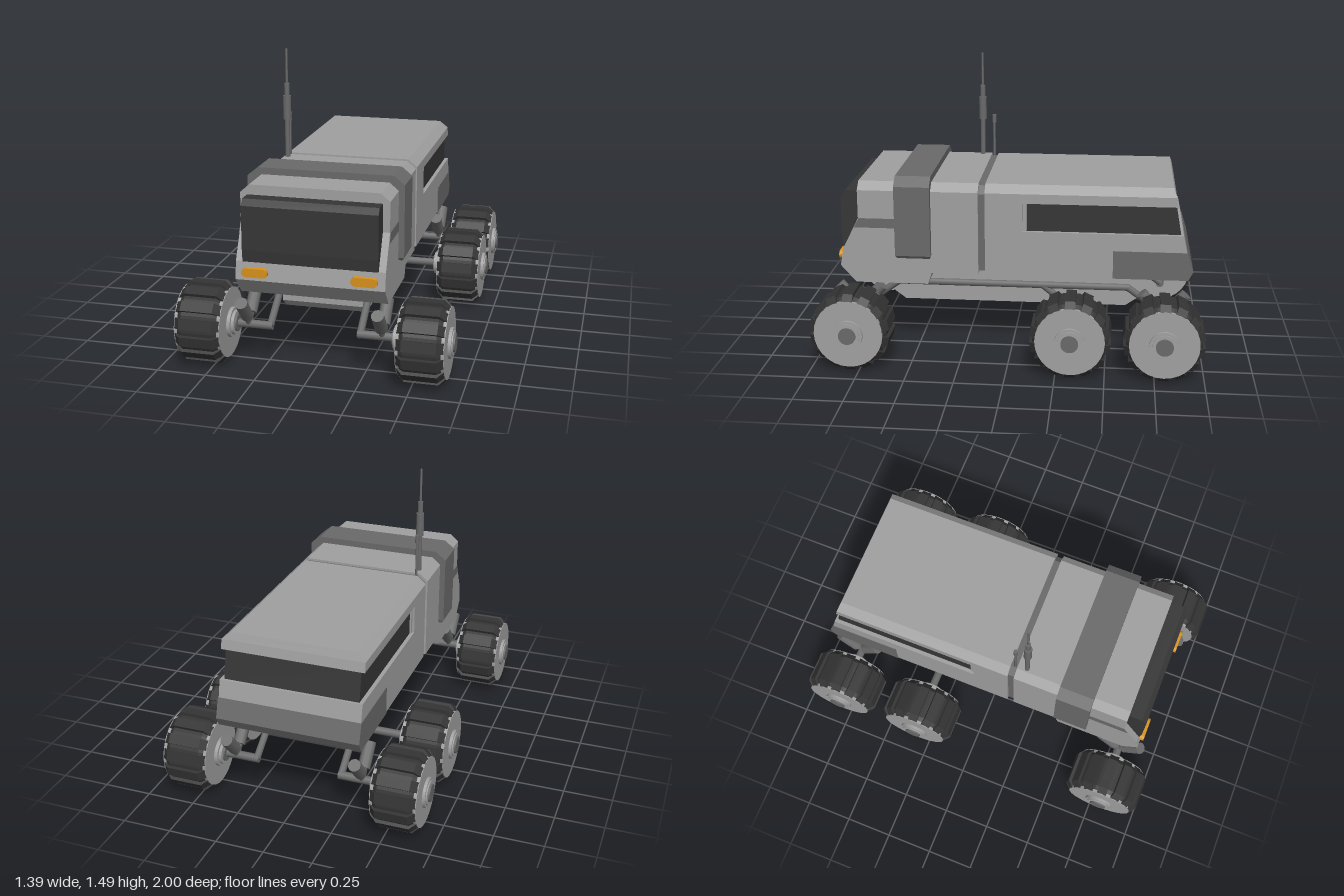
import * as THREE from 'three';

const mat = (name, color) => {
  const m = new THREE.MeshStandardMaterial({ color });
  m.name = name;
  return m;
};

export function createModel() {
  const root = new THREE.Group();
  root.name = 'sixWheelRover';
  const hull = mat('hullGrey', 0xa0a0a0);
  const trim = mat('trimGrey', 0x6a6a6a);
  const glass = mat('darkGlass', 0x363636);
  const rubber = mat('tyreRubber', 0x343434);
  const amber = mat('amberLamp', 0xd8921c);

  const add = (parent, name, geo, material) => {
    const m = new THREE.Mesh(geo, material);
    m.name = name;
    parent.add(m);
    return m;
  };

  // Solid made of stacked rectangles, each level = [y, halfWidth, zBack, zFront]
  const stack = (name, material, levels) => {
    const pos = [];
    const rings = levels.map(([y, w, b, f]) => [[-w, y, b], [-w, y, f], [w, y, f], [w, y, b]]);
    const quad = (a, b, c, d) => pos.push(...a, ...b, ...c, ...a, ...c, ...d);
    for (let k = 0; k + 1 < rings.length; k++) {
      for (let i = 0; i < 4; i++) {
        const j = (i + 1) % 4;
        quad(rings[k][i], rings[k][j], rings[k + 1][j], rings[k + 1][i]);
      }
    }
    const [p, q, r, s] = rings[0];
    quad(s, r, q, p);
    quad(...rings[rings.length - 1]);
    const geo = new THREE.BufferGeometry();
    geo.setAttribute('position', new THREE.Float32BufferAttribute(pos, 3));
    geo.computeVertexNormals();
    return add(root, name, geo, material);
  };

  // Straight rod between two points
  const rod = (parent, name, a, b, r, material, sides = 8) => {
    const p = new THREE.Vector3(...a), q = new THREE.Vector3(...b);
    const dir = q.clone().sub(p);
    const m = add(parent, name, new THREE.CylinderGeometry(r, r, dir.length(), sides), material);
    m.position.copy(p).add(q).multiplyScalar(0.5);
    m.quaternion.setFromUnitVectors(new THREE.Vector3(0, 1, 0), dir.normalize());
    return m;
  };

  // Cabin and windscreen
  stack('cabinSill', hull, [[0.38, 0.37, 0.43, 0.81], [0.44, 0.37, 0.41, 0.863]]);
  stack('cabin', hull, [
    [0.44, 0.37, 0.165, 0.863], [0.47, 0.37, 0.165, 0.89], [0.56, 0.37, 0.165, 0.875],
    [0.73, 0.37, 0.165, 0.79], [0.88, 0.37, 0.165, 0.79], [0.92, 0.325, 0.165, 0.79],
  ]);
  stack('windscreen', glass, [
    [0.56, 0.335, 0.78, 0.88], [0.62, 0.335, 0.78, 0.886], [0.84, 0.335, 0.78, 0.886], [0.87, 0.335, 0.78, 0.86],
  ]);
  stack('cabinSideStripe', trim, [[0.68, 0.373, 0.58, 0.812], [0.73, 0.373, 0.58, 0.787]]);
  stack('rollHoop', trim, [
    [0.525, 0.39, 0.415, 0.585], [0.54, 0.4, 0.41, 0.595], [0.91, 0.4, 0.41, 0.595], [0.955, 0.345, 0.41, 0.595],
  ]);
  stack('bodyJoint', trim, [[0.46, 0.358, 0.11, 0.18], [0.87, 0.358, 0.11, 0.18], [0.908, 0.318, 0.11, 0.18]]);

  // Rear compartment with a wrap-around window band
  stack('rearBody', hull, [[0.445, 0.37, -0.88, 0.13], [0.49, 0.37, -0.92, 0.13], [0.59, 0.37, -0.905, 0.13], [0.68, 0.37, -0.885, 0.13]]);
  stack('rearPillar', hull, [[0.68, 0.37, -0.065, 0.13], [0.83, 0.37, -0.065, 0.13]]);
  stack('windowFrame', hull, [[0.68, 0.358, -0.085, -0.06], [0.83, 0.358, -0.085, -0.06]]);
  stack('rearWindow', glass, [[0.67, 0.35, -0.874, -0.07], [0.84, 0.35, -0.84, -0.07]]);
  stack('rearRoof', hull, [[0.83, 0.37, -0.853, 0.13], [0.88, 0.37, -0.843, 0.13], [0.92, 0.325, -0.83, 0.13]]);
  stack('rearBumper', trim, [[0.442, 0.373, -0.915, -0.53], [0.49, 0.373, -0.94, -0.53], [0.59, 0.373, -0.908, -0.53]]);

  // Chassis tub
  stack('chassis', hull, [[0.235, 0.21, -0.6, 0.58], [0.285, 0.21, -0.67, 0.645], [0.45, 0.21, -0.7, 0.645]]);

  // Head lamps with rounded ends
  const lamp = new THREE.Shape();
  lamp.absarc(0.043, 0, 0.022, -Math.PI / 2, Math.PI / 2, false);
  lamp.absarc(-0.043, 0, 0.022, Math.PI / 2, Math.PI * 1.5, false);
  const lampGeo = new THREE.ExtrudeGeometry(lamp, { depth: 0.03, bevelEnabled: false, curveSegments: 6 });
  for (const s of [1, -1]) add(root, 'headLamp', lampGeo, amber).position.set(s * 0.27, 0.512, 0.876);

  // Antennas
  const mast = (name, x, z, steps) => {
    const g = new THREE.Group();
    g.name = name;
    for (const [y0, y1, r] of steps) rod(g, name + 'Section', [x, y0, z], [x, y1, z], r, trim, 12);
    root.add(g);
  };
  mast('tallAntenna', -0.305, 0.215, [[0.89, 1.12, 0.013], [1.12, 1.245, 0.021], [1.245, 1.31, 0.014], [1.31, 1.49, 0.006]]);
  mast('shortAntenna', -0.31, 0.152, [[0.88, 1.1, 0.007], [1.1, 1.145, 0.011]]);

  // Wheel parts, axis along x
  const sideways = (geo) => geo.rotateZ(-Math.PI / 2);
  const tyreGeo = sideways(new THREE.LatheGeometry(
    [[0.1, -0.112], [0.168, -0.112], [0.191, -0.08], [0.191, 0.08], [0.168, 0.112], [0.1, 0.112]]
      .map(([x, y]) => new THREE.Vector2(x, y)), 28)).toNonIndexed();
  tyreGeo.computeVertexNormals();
  const lugShape = new THREE.Shape([[-0.115, 0.16], [0.115, 0.16], [0.115, 0.173], [0.083, 0.205], [-0.083, 0.205], [-0.115, 0.173]]
    .map(([x, y]) => new THREE.Vector2(x, y)));
  const lugGeo = new THREE.ExtrudeGeometry(lugShape, { depth: 0.052, bevelEnabled: false }).translate(0, 0, -0.026);
  const disc = (r, x0, x1) => sideways(new THREE.CylinderGeometry(r, r, x1 - x0, 28)).translate((x0 + x1) / 2, 0, 0);
  const rimGeo = disc(0.176, -0.117, 0.117);
  const hubGeo = disc(0.076, -0.135, 0.132);
  const collarGeo = disc(0.062, -0.15, 0.138);
  const capGeo = disc(0.044, -0.158, 0.146);

  const wheel = (s, z) => {
    const g = new THREE.Group();
    g.name = 'wheel';
    add(g, 'tyre', tyreGeo, rubber);
    for (let i = 0; i < 14; i++) add(g, 'treadLug', lugGeo, rubber).rotation.x = (i / 14) * Math.PI * 2;
    add(g, 'rim', rimGeo, hull);
    add(g, 'hub', hubGeo, hull);
    add(g, 'hubCollar', collarGeo, hull);
    add(g, 'hubCap', capGeo, trim);
    g.position.set(s * 0.55, 0.205, z);
    if (s < 0) g.rotation.y = Math.PI;
    root.add(g);
  };

  // Running gear on both sides
  for (const s of [1, -1]) {
    for (const z of [0.795, -0.325, -0.795]) {
      wheel(s, z);
      rod(root, 'axle', [s * 0.215, 0.205, z], [s * 0.44, 0.205, z], 0.022, trim);
    }
    const x = s * 0.228;
    rod(root, 'sideRail', [x, 0.342, 0.62], [x, 0.342, -0.62], 0.019, trim);
    rod(root, 'frontArm', [x, 0.342, 0.61], [x, 0.205, 0.8], 0.019, trim);
    rod(root, 'middleArm', [x, 0.342, -0.16], [x, 0.205, -0.33], 0.019, trim);
    rod(root, 'rearArm', [x, 0.342, -0.61], [x, 0.205, -0.8], 0.019, trim);
    // V-shaped damper pairs
    for (const z of [0.795, -0.795]) {
      for (const d of [1, -1]) {
        rod(root, 'damper', [s * 0.338, 0.255, z + d * 0.025], [s * 0.338, 0.355, z + d * 0.115], 0.032, trim, 10);
        rod(root, 'damperRod', [s * 0.338, 0.205, z], [s * 0.338, 0.27, z + d * 0.04], 0.016, trim);
      }
    }
  }
  return root;
}
